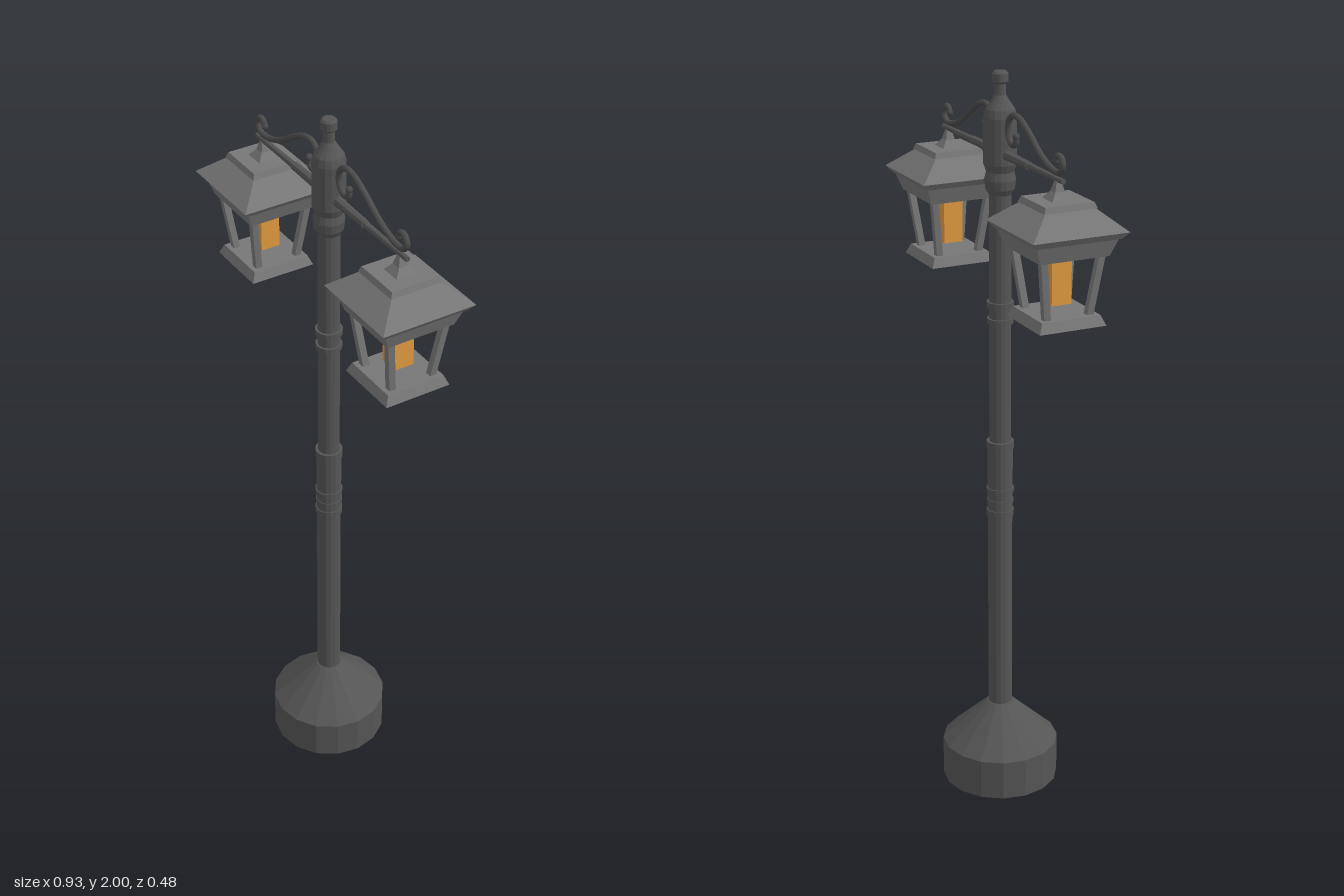
import * as THREE from 'three';

const iron = new THREE.MeshStandardMaterial({ color: 0x555555, flatShading: true });
const smoothIron = new THREE.MeshStandardMaterial({ color: 0x4c4c4c });
const lampMetal = new THREE.MeshStandardMaterial({ color: 0x777777, flatShading: true });
const glow = new THREE.MeshStandardMaterial({ color: 0xe09a40, flatShading: true });

function add(parent, name, geometry, material) {
  const mesh = new THREE.Mesh(geometry, material);
  mesh.name = name;
  parent.add(mesh);
  return mesh;
}

// Turned part from [radius, height] pairs
function turned(profile) {
  return new THREE.LatheGeometry(profile.map(([r, y]) => new THREE.Vector2(r, y)), 16);
}

// Square frustum between two heights, given its half widths
function frustum(bottomHalf, topHalf, y0, y1) {
  return new THREE.CylinderGeometry(topHalf * Math.SQRT2, bottomHalf * Math.SQRT2, y1 - y0, 4)
    .rotateY(Math.PI / 4)
    .translate(0, (y0 + y1) / 2, 0);
}

function createLantern() {
  const lantern = new THREE.Group();
  lantern.name = 'lantern';
  add(lantern, 'lanternFloor', frustum(0.091, 0.08, 1.438, 1.464), lampMetal);
  add(lantern, 'frieze', frustum(0.094, 0.112, 1.615, 1.665), lampMetal);
  add(lantern, 'eave', frustum(0.115, 0.13, 1.66, 1.678), lampMetal);
  add(lantern, 'roof', frustum(0.13, 0.066, 1.678, 1.732), lampMetal);
  add(lantern, 'roofCap', frustum(0.072, 0.066, 1.73, 1.745), lampMetal);
  add(lantern, 'finialFoot', frustum(0.028, 0.013, 1.745, 1.764), lampMetal);
  add(lantern, 'finialTip', frustum(0.013, 0.005, 1.764, 1.795), lampMetal);
  add(lantern, 'lightBlock', frustum(0.027, 0.027, 1.485, 1.62), glow);

  // Corner posts, sheared so that they splay outwards to the top
  for (const sx of [-1, 1]) {
    for (const sz of [-1, 1]) {
      const geometry = new THREE.BoxGeometry(0.018, 0.16, 0.018).translate(0, 1.54, 0);
      const p = geometry.attributes.position;
      for (let i = 0; i < p.count; i++) {
        const offset = 0.058 + (p.getY(i) - 1.46) * 0.13;
        p.setX(i, p.getX(i) + sx * offset);
        p.setZ(i, p.getZ(i) + sz * offset);
      }
      add(lantern, 'cornerPost', geometry, lampMetal);
    }
  }
  return lantern;
}

// One side: bar, scroll and hanging lantern, pointing along +x
function createArm() {
  const arm = new THREE.Group();
  arm.name = 'arm';
  const bar = (r0, r1, x0, x1) => new THREE.CylinderGeometry(r1, r0, x1 - x0, 8)
    .rotateZ(-Math.PI / 2).translate((x0 + x1) / 2, 1.793, 0);
  add(arm, 'barSleeve', bar(0.014, 0.011, 0, 0.165), iron);
  add(arm, 'bar', bar(0.009, 0.007, 0.16, 0.348), iron);

  const path = [
    [0.308, 1.836], [0.314, 1.849], [0.333, 1.85], [0.344, 1.83], [0.328, 1.811],
    [0.291, 1.811], [0.231, 1.832], [0.165, 1.873], [0.115, 1.898], [0.077, 1.902],
    [0.05, 1.883], [0.046, 1.851], [0.066, 1.827], [0.09, 1.832], [0.092, 1.851],
  ].map(([x, y]) => new THREE.Vector3(x, y, 0));
  add(arm, 'scroll', new THREE.TubeGeometry(new THREE.CatmullRomCurve3(path), 70, 0.008, 8), smoothIron);
  for (const end of [path[0], path[path.length - 1]]) {
    add(arm, 'scrollEnd', new THREE.SphereGeometry(0.0095, 8, 6), smoothIron).position.copy(end);
  }

  const lantern = createLantern();
  lantern.position.x = 0.318;
  arm.add(lantern);
  return arm;
}

export function createModel() {
  const model = new THREE.Group();
  model.name = 'streetLamp';
  const body = new THREE.Group();
  body.name = 'lampBody';
  body.rotation.y = -Math.PI / 12;
  model.add(body);

  // Foot and post
  add(body, 'base', turned([[0, 0], [0.161, 0], [0.161, 0.112], [0.036, 0.228], [0, 0.228]]), iron);
  add(body, 'post', turned([
    [0.033, 0.22], [0.033, 0.8], [0.034, 0.8], [0.034, 1.0], [0.029, 1.01], [0.029, 1.69],
  ]), iron);

  // Raised rings: [height, thickness, radius]
  for (const [y, h, r] of [
    [0.805, 0.018, 0.037], [0.838, 0.012, 0.036], [0.87, 0.014, 0.037],
    [1.0, 0.022, 0.037], [1.348, 0.014, 0.035], [1.392, 0.016, 0.036],
  ]) {
    add(body, 'postRing', new THREE.CylinderGeometry(r, r, h, 16).translate(0, y, 0), iron);
  }

  // Column head with dome and finial
  add(body, 'columnHead', turned([
    [0.029, 1.685], [0.038, 1.7], [0.041, 1.725], [0.036, 1.745], [0.043, 1.765],
    [0.043, 1.885], [0.038, 1.905], [0.026, 1.922], [0.015, 1.94], [0.014, 1.968],
    [0.021, 1.974], [0.021, 1.994], [0.016, 2], [0, 2],
  ]), iron);

  // Two opposite arms
  for (const angle of [0, Math.PI]) {
    const arm = createArm();
    arm.rotation.y = angle;
    body.add(arm);
  }
  return model;
}
